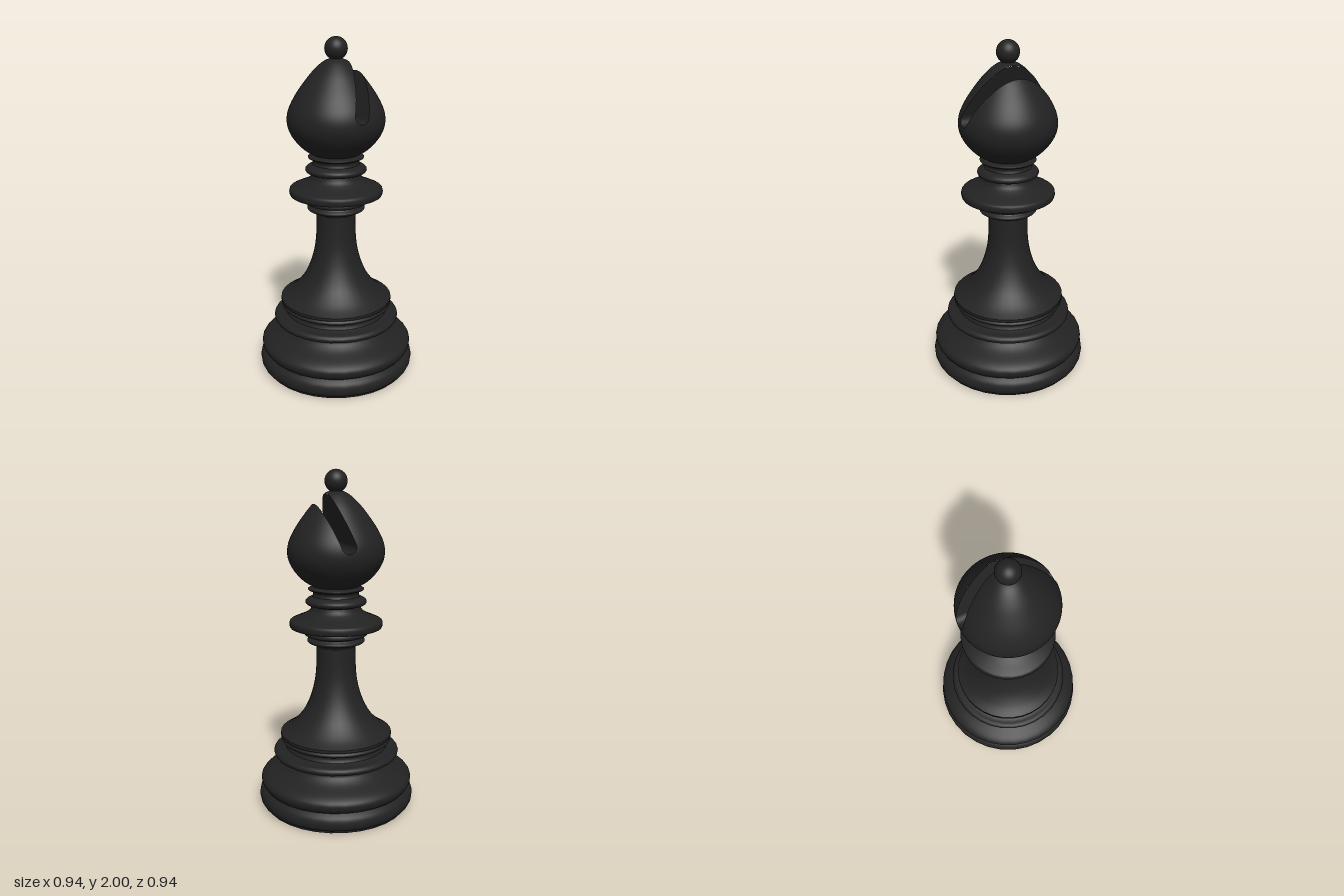
import * as THREE from 'three';

const ebony = new THREE.MeshStandardMaterial({ color: 0x222222 });
ebony.name = 'ebony black';
const feltGreen = new THREE.MeshStandardMaterial({ color: 0x2f5c3a });
feltGreen.name = 'felt green';

// Smooth curve through [radius, height] pairs
function curve(pairs, steps = 4) {
  const spline = new THREE.SplineCurve(pairs.map(([r, y]) => new THREE.Vector2(r, y)));
  const points = spline.getPoints((pairs.length - 1) * steps);
  points.forEach((p) => { p.x = Math.max(0, p.x); });
  return points;
}

// Each turned section is its own smooth lathe, so the joints between sections stay crisp
const sections = {
  baseRim: [[0.44, 0], [0.44, 0.014]],
  baseRoll: [[0.44, 0.014], [0.462, 0.027], [0.472, 0.06], [0.464, 0.095], [0.438, 0.12]],
  baseShoulder: [[0.438, 0.12], [0.456, 0.145], [0.458, 0.178], [0.425, 0.208], [0.35, 0.243], [0.312, 0.275], [0.308, 0.297]],
  lowerRing: [[0.308, 0.297], [0.335, 0.312], [0.37, 0.317], [0.38, 0.337], [0.365, 0.354], [0.335, 0.358], [0.308, 0.367]],
  lowerNeck: [[0.308, 0.367], [0.3, 0.385], [0.302, 0.404]],
  upperRing: [[0.302, 0.404], [0.326, 0.407], [0.335, 0.42], [0.325, 0.433]],
  skirtEdge: [[0.325, 0.433], [0.336, 0.438], [0.336, 0.455]],
  stem: [[0.336, 0.455], [0.275, 0.492], [0.21, 0.56], [0.162, 0.65], [0.132, 0.75], [0.119, 0.85], [0.115, 0.985]],
  stemCap: [[0.115, 0.985], [0.13, 1.003], [0.162, 1.01], [0.17, 1.024], [0.155, 1.037]],
  collarStep: [[0.155, 1.037], [0.152, 1.046], [0.18, 1.054], [0.187, 1.07], [0.175, 1.095]],
  collar: [[0.175, 1.095], [0.255, 1.098], [0.272, 1.108], [0.272, 1.138], [0.25, 1.152], [0.195, 1.175], [0.155, 1.2], [0.142, 1.228]],
  neckRing: [[0.142, 1.228], [0.17, 1.237], [0.179, 1.254], [0.168, 1.27], [0.138, 1.285]],
  neck: [[0.138, 1.285], [0.133, 1.3], [0.138, 1.314]],
  headSeat: [[0.138, 1.314], [0.158, 1.32], [0.161, 1.331], [0.125, 1.345]],
};

const headProfile = curve([
  [0.12, 1.335], [0.185, 1.373], [0.238, 1.428], [0.27, 1.485], [0.28, 1.54], [0.27, 1.6],
  [0.236, 1.67], [0.19, 1.738], [0.13, 1.812], [0.065, 1.868], [0, 1.89],
], 7);

// Slanted slot running front to back: round bottom, straight sides
const slot = {
  centre: new THREE.Vector2(0.014, 1.594),
  along: new THREE.Vector2(0.32, 0.947).normalize(),
  across: new THREE.Vector2(0.947, -0.32).normalize(),
  half: 0.042,
};

// Distance outside the slot (negative inside)
function slotDistance(v) {
  const p = new THREE.Vector2(v.x, v.y).sub(slot.centre);
  const s = p.dot(slot.along);
  const t = p.dot(slot.across);
  return (s > 0 ? Math.abs(t) : Math.hypot(s, t)) - slot.half;
}

function headRadius(y) {
  for (let i = 1; i < headProfile.length; i++) {
    const a = headProfile[i - 1], b = headProfile[i];
    if (y >= a.y && y <= b.y) return a.x + (b.x - a.x) * (y - a.y) / (b.y - a.y);
  }
  return 0;
}

// Head skin: a lathe whose triangles are trimmed along the slot
function headSkin() {
  const source = new THREE.LatheGeometry(headProfile, 128).toNonIndexed();
  const pos = source.attributes.position, nor = source.attributes.normal;
  const positions = [], normals = [];
  for (let i = 0; i < pos.count; i += 3) {
    const corners = [0, 1, 2].map((k) => {
      const p = new THREE.Vector3().fromBufferAttribute(pos, i + k);
      return { p, n: new THREE.Vector3().fromBufferAttribute(nor, i + k), d: slotDistance(p) };
    });
    const kept = [];
    corners.forEach((a, k) => {
      const b = corners[(k + 1) % 3];
      if (a.d >= 0) kept.push(a);
      if ((a.d >= 0) !== (b.d >= 0)) {
        const f = a.d / (a.d - b.d);
        kept.push({ p: a.p.clone().lerp(b.p, f), n: a.n.clone().lerp(b.n, f).normalize() });
      }
    });
    for (let k = 2; k < kept.length; k++) {
      for (const c of [kept[0], kept[k - 1], kept[k]]) {
        positions.push(c.p.x, c.p.y, c.p.z);
        normals.push(c.n.x, c.n.y, c.n.z);
      }
    }
  }
  const g = new THREE.BufferGeometry();
  g.setAttribute('position', new THREE.Float32BufferAttribute(positions, 3));
  g.setAttribute('normal', new THREE.Float32BufferAttribute(normals, 3));
  return g;
}

// Slot lining: a U-shaped strip spanning the head from front to back
function slotLining() {
  const at = (s, t) => slot.centre.clone().addScaledVector(slot.along, s).addScaledVector(slot.across, t);
  const wallTop = (t) => {
    let low = 0, high = 0.4;
    for (let i = 0; i < 30; i++) {
      const mid = (low + high) / 2, p = at(mid, t);
      if (headRadius(p.y) > Math.abs(p.x)) low = mid; else high = mid;
    }
    return low;
  };
  const steps = 32, path = [];
  const leftTop = wallTop(-slot.half), rightTop = wallTop(slot.half);
  for (let i = 0; i < steps; i++) path.push(at(leftTop * (1 - i / steps), -slot.half));
  for (let i = 0; i <= 16; i++) {
    const a = Math.PI * i / 16;
    path.push(at(-slot.half * Math.sin(a), -slot.half * Math.cos(a)));
  }
  for (let i = 1; i <= steps; i++) path.push(at(rightTop * i / steps, slot.half));

  const positions = [], index = [];
  path.forEach((p, i) => {
    const z = Math.sqrt(Math.max(0, headRadius(p.y) ** 2 - p.x ** 2));
    positions.push(p.x, p.y, -z, p.x, p.y, z);
    const k = 2 * i;
    if (i < path.length - 1) index.push(k, k + 1, k + 2, k + 1, k + 3, k + 2);
  });
  const g = new THREE.BufferGeometry();
  g.setAttribute('position', new THREE.Float32BufferAttribute(positions, 3));
  g.setIndex(index);
  g.computeVertexNormals();
  return g;
}

export function createModel() {
  const model = new THREE.Group();
  model.name = 'chessBishop';
  const add = (name, geometry, material = ebony, parent = model) => {
    const mesh = new THREE.Mesh(geometry, material);
    mesh.name = name;
    parent.add(mesh);
    return mesh;
  };

  // Turned body
  for (const [name, pairs] of Object.entries(sections)) {
    add(name, new THREE.LatheGeometry(curve(pairs), 32));
  }

  // Felt under the base
  add('feltPad', new THREE.CircleGeometry(0.44, 32).rotateX(Math.PI / 2), feltGreen);

  // Slotted head with its finial
  const head = new THREE.Group();
  head.name = 'head';
  model.add(head);
  add('headSkin', headSkin(), ebony, head);
  add('slotLining', slotLining(), ebony, head);
  add('finial', new THREE.SphereGeometry(0.065, 32, 20), ebony, head).position.y = 1.935;

  return model;
}
